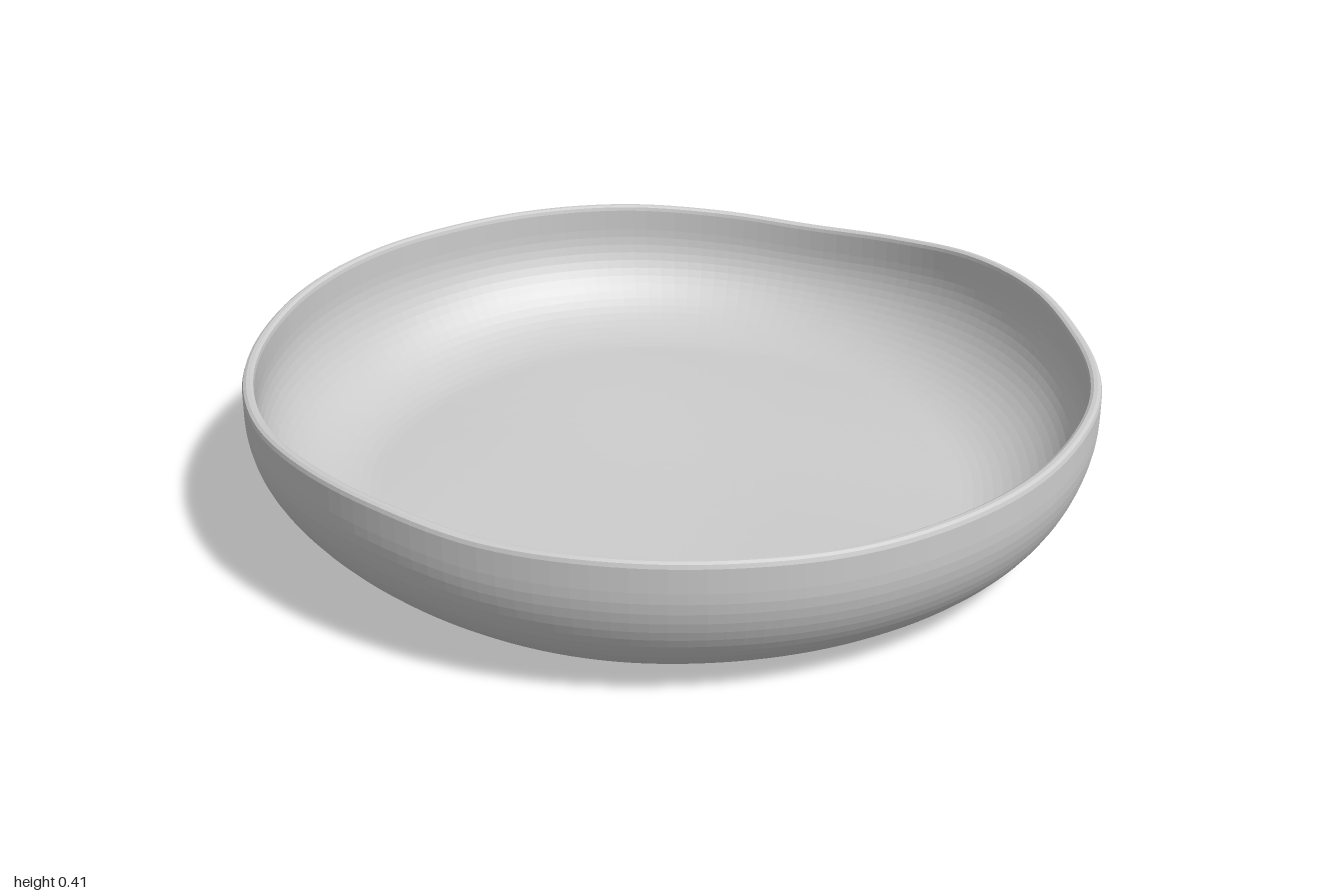
import * as THREE from 'three';

// Height of the wavy rim above its lowest point, every 15 degrees from +x towards +z (thousandths)
const RIM = [22, 10, 4, 0, 5, 9, 14, 33, 36, 27, 26, 32, 47, 56, 57, 58, 52, 34, 18, 30, 50, 48, 21, 18];

function rimLift(angle) {
  const n = RIM.length;
  const t = ((angle / (2 * Math.PI)) * n + n) % n;
  const i = Math.floor(t), f = t - i;
  const [a, b, c, d] = [-1, 0, 1, 2].map((k) => RIM[(i + k + n) % n]);
  // Catmull-Rom around the closed loop
  return 0.001 * (b + 0.5 * f * (c - a + f * (2 * a - 5 * b + 4 * c - d + f * (3 * (b - c) + d - a))));
}

// The floor rises gently towards the right and the back
function floorLift(x, z) {
  const a = 0.037 * THREE.MathUtils.smoothstep(-x, -0.3, 0.6);
  const b = 0.045 * THREE.MathUtils.smoothstep(-z, -0.05, 0.6);
  return Math.hypot(a, b);
}

// Half section: outer floor and wall, rounded lip, inner wall and floor
function bowlProfile() {
  const p = [];
  const floorSteps = 14, arcSteps = 18;
  const arc = (rx, ry, t) => {
    const a = (t * Math.PI) / 2;
    return new THREE.Vector2(0.7 + rx * Math.sin(a), 0.28 - ry * Math.cos(a));
  };
  for (let i = 0; i < floorSteps; i++) p.push(new THREE.Vector2((0.7 * i) / floorSteps, 0));
  for (let i = 0; i <= arcSteps; i++) p.push(arc(0.3, 0.28, i / arcSteps));
  for (const [r, y] of [[1, 0.335], [0.997, 0.344], [0.99, 0.348], [0.981, 0.348], [0.974, 0.344], [0.972, 0.335]]) {
    p.push(new THREE.Vector2(r, y));
  }
  for (let i = arcSteps; i >= 0; i--) p.push(arc(0.272, 0.25, i / arcSteps));
  for (let i = floorSteps - 1; i >= 0; i--) p.push(new THREE.Vector2((0.7 * i) / floorSteps, 0.03));
  return p;
}

export function createModel() {
  const geometry = new THREE.LatheGeometry(bowlProfile(), 160);
  const pos = geometry.attributes.position;

  // Warp the turned bowl up and down: floor waves below blend into rim waves above
  for (let i = 0; i < pos.count; i++) {
    const x = pos.getX(i), y = pos.getY(i), z = pos.getZ(i);
    const blend = THREE.MathUtils.smoothstep(y, 0.03, 0.3);
    const lift = THREE.MathUtils.lerp(floorLift(x, z), rimLift(Math.atan2(z, x)), blend);
    pos.setY(i, y + lift);
  }
  geometry.computeVertexNormals();

  const bowl = new THREE.Mesh(
    geometry,
    new THREE.MeshStandardMaterial({ color: 0xcccccc, flatShading: true })
  );
  bowl.name = 'bowl';

  const group = new THREE.Group();
  group.name = 'wavyBowl';
  group.add(bowl);
  return group;
}
